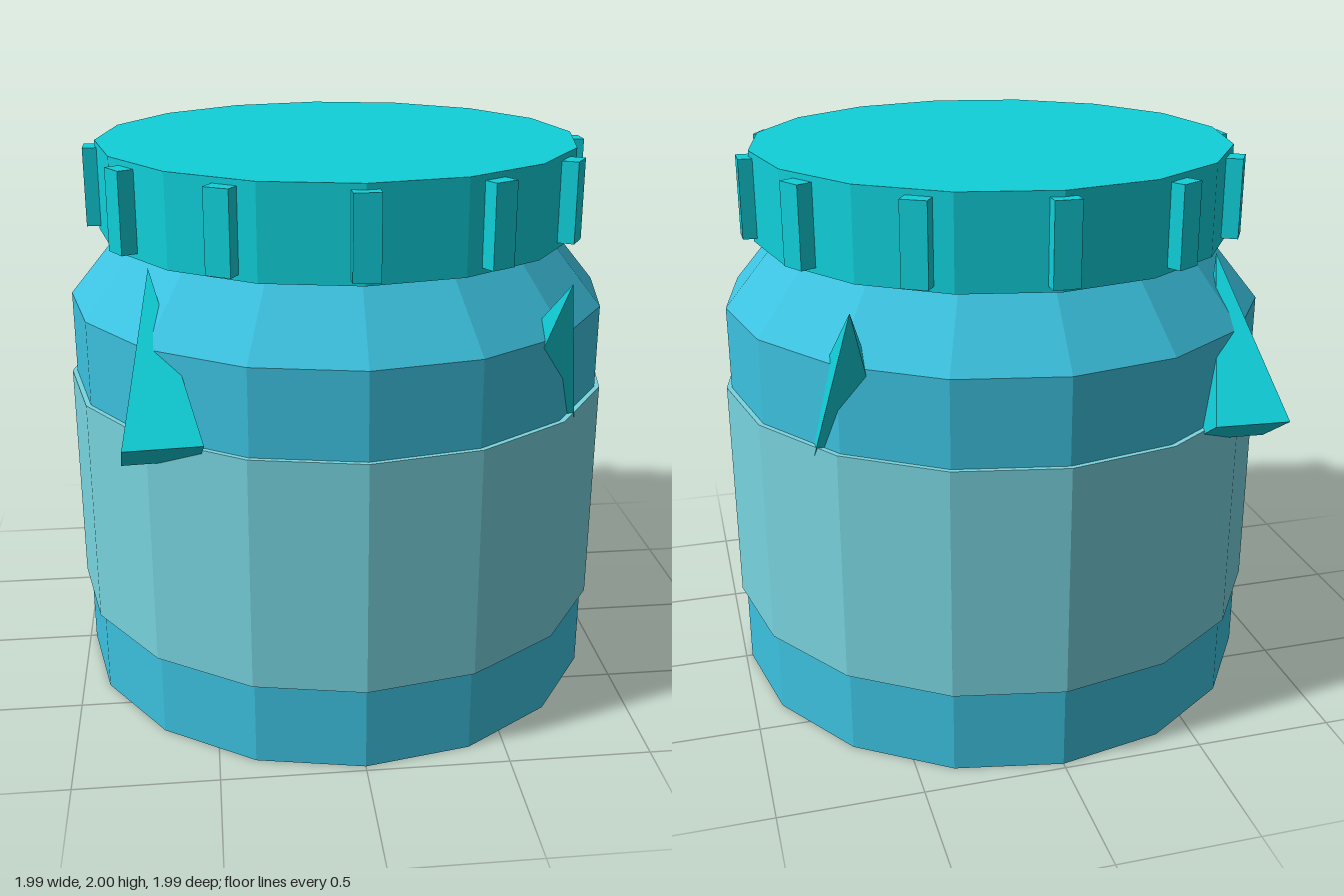
import * as THREE from 'three';

const SIDES = 16;

export function createModel() {
  const model = new THREE.Group();
  model.name = 'jar';

  const flat = (name, color) => {
    const m = new THREE.MeshStandardMaterial({ color });
    m.name = name;
    return m;
  };
  const lidTeal = flat('lidTeal', 0x10d0da);
  const bodyBlue = flat('bodyBlue', 0x3cc2e0);
  const bandAqua = flat('bandAqua', 0x78d4df);

  const add = (name, geometry, material, parent = model) => {
    // Unshared vertices give every facet its own flat normal
    const g = geometry.index ? geometry.toNonIndexed() : geometry;
    g.computeVertexNormals();
    const mesh = new THREE.Mesh(g, material);
    mesh.name = name;
    parent.add(mesh);
    return mesh;
  };

  // Faceted ring or disc between two heights
  const drum = (name, rTop, rBottom, y0, y1, material, open = false) => {
    const g = new THREE.CylinderGeometry(rTop, rBottom, y1 - y0, SIDES, 1, open);
    add(name, g, material).position.y = (y0 + y1) / 2;
  };

  // Jar: straight body with base, sloping shoulder, wrapped band, lid
  drum('body', 0.977, 0.977, 0, 1.443, bodyBlue);
  drum('shoulder', 0.782, 0.977, 1.443, 1.68, bodyBlue, true);
  drum('band', 0.995, 0.995, 0.307, 1.14, bandAqua);
  drum('lid', 0.862, 0.862, 1.68, 2, lidTeal);

  // Twelve grip ribs around the lid
  const ribs = new THREE.Group();
  ribs.name = 'lidRibs';
  model.add(ribs);
  for (let i = 0; i < 12; i++) {
    const a = (i / 12) * Math.PI * 2;
    const rib = add('lidRib', new THREE.BoxGeometry(0.09, 0.28, 0.1), lidTeal, ribs);
    rib.position.set(Math.sin(a) * 0.853, 1.84, Math.cos(a) * 0.853);
    rib.rotation.y = a;
  }

  // Square spikes half sunk in the wall: one side leans in, the other out
  const spikes = new THREE.Group();
  spikes.name = 'spikes';
  model.add(spikes);
  const addSpike = (name, x, z, yaw) => {
    const g = new THREE.ConeGeometry(0.181, 0.63, 4).rotateY(Math.PI / 4);
    const spike = add(name, g, lidTeal, spikes);
    spike.position.set(x, 1.395, z);
    spike.rotation.set(-0.57, yaw, 0, 'YXZ');
  };
  addSpike('frontInwardSpike', -0.663, 0.668, 0.08);
  addSpike('backInwardSpike', -0.663, -0.668, Math.PI - 0.08);
  addSpike('frontOutwardSpike', 0.65, 0.667, Math.PI + 0.08);
  addSpike('backOutwardSpike', 0.65, -0.667, -0.08);

  return model;
}
